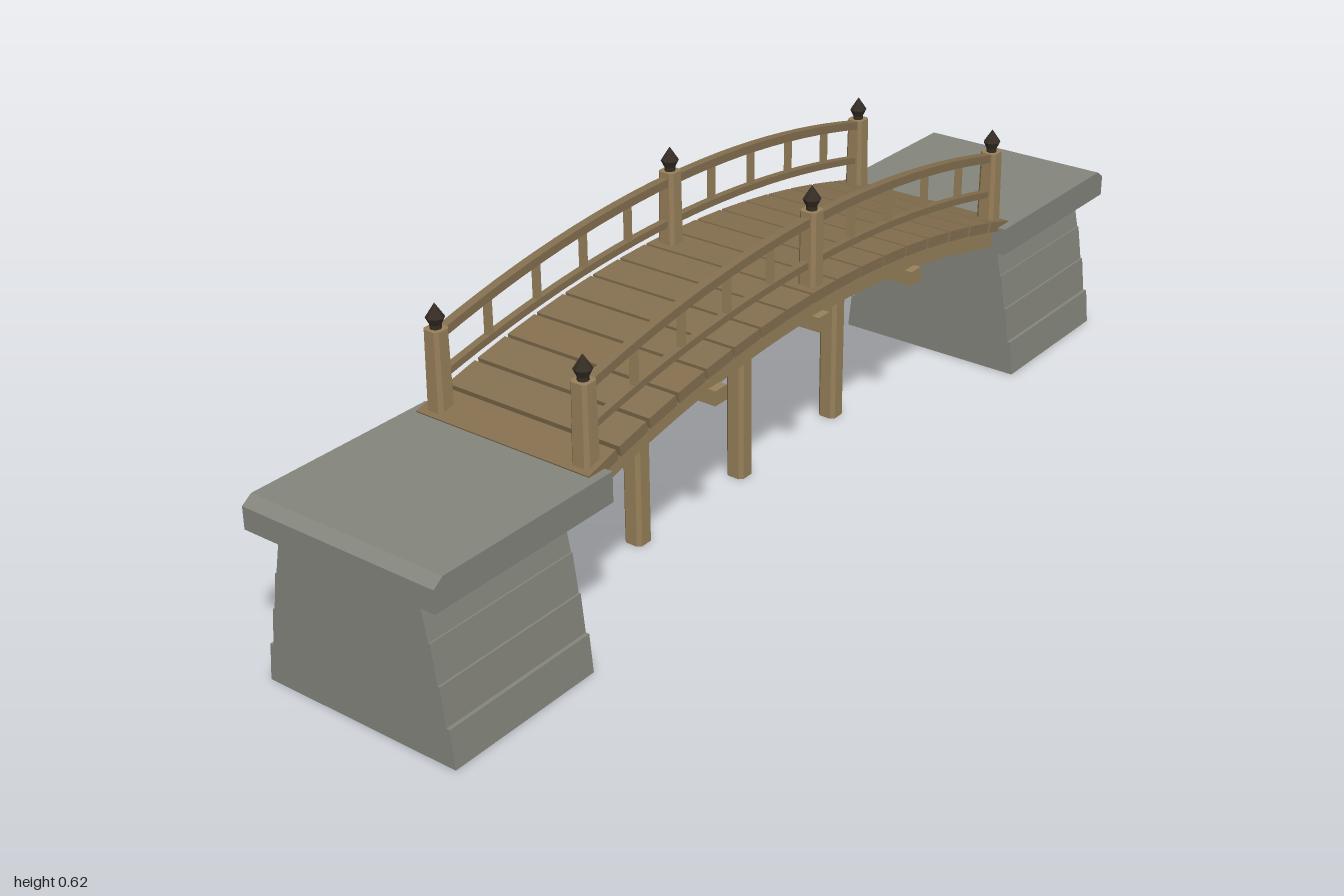
import * as THREE from 'three';

const mat = (name, color) => {
  const m = new THREE.MeshStandardMaterial({ color, flatShading: true });
  m.name = name;
  return m;
};

// Height of the deck's walking surface along the arch
const deckY = x => 0.432 - 0.085 * (x / 0.62) ** 2;

export function createModel() {
  const stone = mat('grey stone', 0x84857c);
  const timber = mat('light timber', 0x97805a);
  const plankWood = mat('plank timber', 0x846f4f);
  const iron = mat('dark finial', 0x352d24);
  const root = new THREE.Group();
  root.name = 'archedFootbridge';

  const add = (name, geo, material, x = 0, y = 0, z = 0) => {
    const m = new THREE.Mesh(geo, material);
    m.name = name;
    m.position.set(x, y, z);
    root.add(m);
    return m;
  };
  // Extrude an x-y outline, centred across z
  const slab = (pts, depth) => {
    const s = new THREE.Shape(pts.map(p => new THREE.Vector2(...p)));
    return new THREE.ExtrudeGeometry(s, { depth, bevelEnabled: false }).translate(0, 0, -depth / 2);
  };
  // Curved beam following an arch between two heights
  const arch = (half, top, bottom, depth, n = 24) => {
    const xs = Array.from({ length: n + 1 }, (_, i) => -half + (2 * half * i) / n);
    return slab([...xs.map(x => [x, bottom(x)]), ...xs.reverse().map(x => [x, top(x)])], depth);
  };
  // Square post with clipped corners, standing on y = 0
  const post = (w, h, taper = 1) => {
    const a = w / 2, c = w * 0.32;
    const s = new THREE.Shape([[a, -c], [a, c], [c, a], [-c, a], [-a, c], [-a, -c], [-c, -a], [c, -a]]
      .map(p => new THREE.Vector2(...p)));
    const g = new THREE.ExtrudeGeometry(s, { depth: h, bevelEnabled: false }).rotateX(-Math.PI / 2);
    const p = g.attributes.position;
    for (let i = 0; i < p.count; i++) {
      const k = 1 + (taper - 1) * p.getY(i) / h;
      p.setX(i, p.getX(i) * k);
      p.setZ(i, p.getZ(i) * k);
    }
    g.computeVertexNormals();
    return g;
  };

  // Stone abutments: four battered courses and a cap
  const courses = [[0.2, 0.193], [0.186, 0.178], [0.174, 0.164], [0.161, 0.146]];
  for (const side of [-1, 1]) {
    courses.forEach(([b, t], i) => {
      const h = i < 3 ? 0.07 : 0.075;
      const g = slab([[-b, 0], [b, 0], [t, h], [-t, h]], 0.32).rotateY(Math.PI / 2);
      add('abutmentCourse', g, stone, side * 0.82, i * 0.07, 0);
    });
    const cap = slab([[-0.2, 0.285], [0.2, 0.285], [0.2, 0.326], [0.18, 0.34], [-0.2, 0.34]], 0.4);
    if (side < 0) cap.rotateY(Math.PI);
    add('abutmentCap', cap, stone, side * 0.8, 0, 0);
  }

  // Deck planks laid over a thin curved underlay
  const planks = 17, pitch = 1.28 / planks;
  for (let i = 0; i < planks; i++) {
    const x = (i - (planks - 1) / 2) * pitch;
    const plank = add('deckPlank', new THREE.BoxGeometry(pitch - 0.006, 0.02, 0.368), plankWood, x, deckY(x) - 0.01, 0);
    plank.rotation.z = Math.atan(-2 * 0.085 * x / 0.62 ** 2);
  }
  add('deckUnderlay', arch(0.61, x => deckY(x) - 0.017, x => deckY(x) - 0.024, 0.33), plankWood);

  // Curved side beams
  for (const z of [-0.155, 0.155]) {
    add('sideBeam', arch(0.605, x => deckY(x) - 0.02, x => deckY(x) - 0.058, 0.03), timber, 0, 0, z);
  }

  // Central trestles with cross beams
  for (const x of [-0.3, 0, 0.3]) {
    const y = deckY(x) - 0.058;
    add('trestlePost', post(0.038, y), timber, x, 0, 0);
    add('crossBeam', new THREE.BoxGeometry(0.032, 0.028, 0.37), timber, x, y - 0.01, 0);
  }

  // Railings on both sides
  const upper = x => 0.56 - 0.075 * (x / 0.61) ** 2;
  const lower = x => 0.479 - 0.07 * (x / 0.61) ** 2;
  const finial = [[0, 0], [0.01, 0], [0.01, 0.007], [0.0165, 0.02], [0, 0.045]].map(p => new THREE.Vector2(...p));
  for (const z of [-0.155, 0.155]) {
    for (const x of [-0.61, 0, 0.61]) {
      const base = x ? 0.335 : 0.41, top = x ? 0.49 : 0.57;
      add('railPost', post(0.037, top - base, 0.9), timber, x, base, z);
      add('postFinial', new THREE.LatheGeometry(finial, 8), iron, x, top, z);
    }
    add('topRail', arch(0.61, upper, x => upper(x) - 0.016, 0.017), plankWood, 0, 0, z);
    add('lowerRail', arch(0.61, lower, x => lower(x) - 0.013, 0.014), plankWood, 0, 0, z);
    for (const side of [-1, 1]) {
      for (let i = 1; i < 5; i++) {
        const x = side * i * 0.122, h = upper(x) - lower(x);
        add('baluster', new THREE.BoxGeometry(0.011, h, 0.011), timber, x, lower(x) + h / 2 - 0.008, z);
      }
    }
  }
  return root;
}
